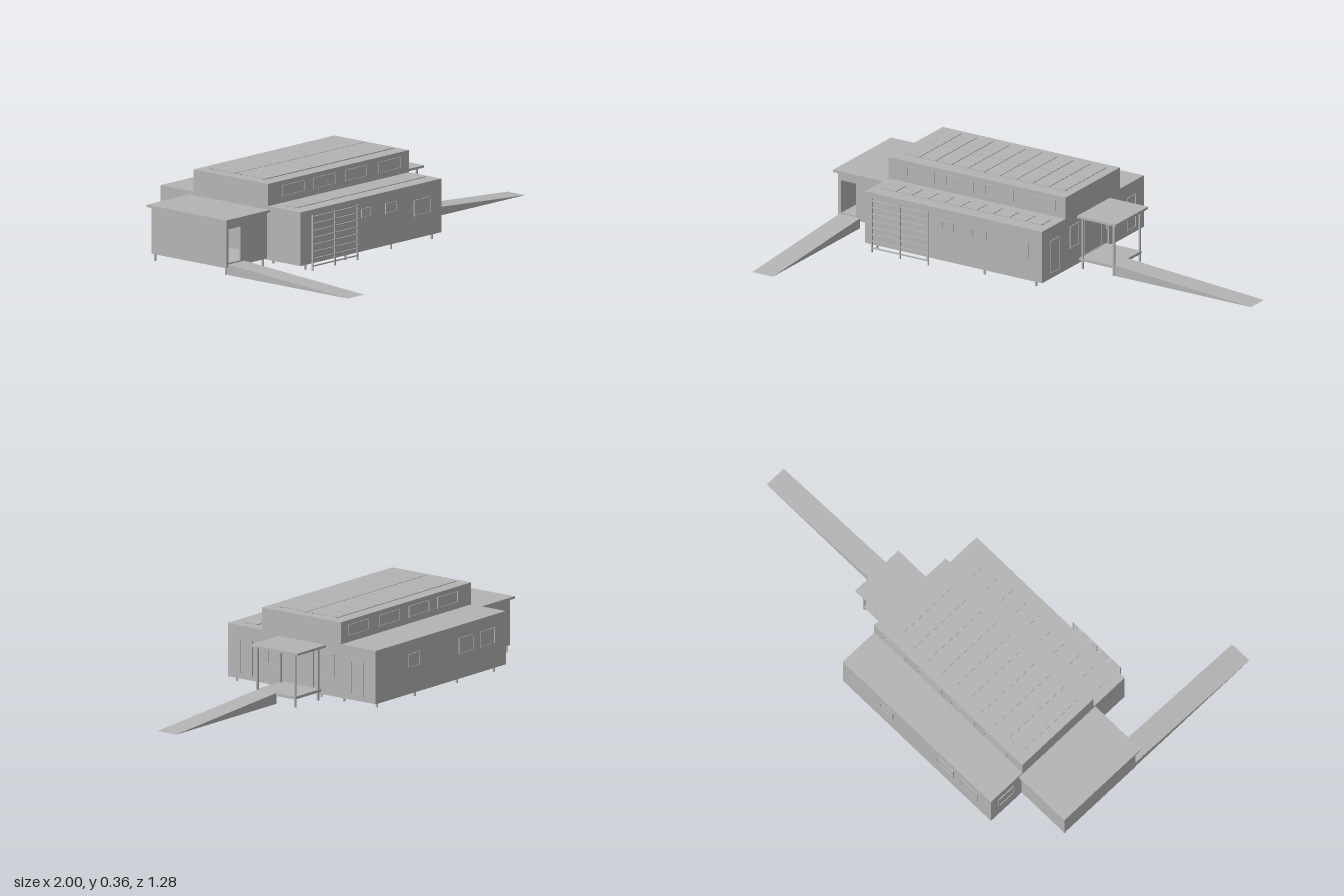
import * as THREE from 'three';

const grey = new THREE.MeshStandardMaterial({ color: 0xb4b4b4 });
grey.name = 'plain grey';

export function createModel() {
  const model = new THREE.Group();
  model.name = 'stiltedPavilion';

  const add = (parent, name, geometry) => {
    const mesh = new THREE.Mesh(geometry, grey);
    mesh.name = name;
    parent.add(mesh);
    return mesh;
  };
  // Box given by its low and high limits on each axis
  const box = (parent, name, x0, x1, y0, y1, z0, z1) => {
    const mesh = add(parent, name, new THREE.BoxGeometry(x1 - x0, y1 - y0, z1 - z0));
    mesh.position.set((x0 + x1) / 2, (y0 + y1) / 2, (z0 + z1) / 2);
    return mesh;
  };
  const group = (name) => {
    const g = new THREE.Group();
    g.name = name;
    model.add(g);
    return g;
  };
  const rectangle = (w, h, Type = THREE.Shape) => new Type([
    new THREE.Vector2(-w / 2, -h / 2), new THREE.Vector2(w / 2, -h / 2),
    new THREE.Vector2(w / 2, h / 2), new THREE.Vector2(-w / 2, h / 2),
  ]);

  // Window or door: a slim raised frame around a thin pane
  const opening = (name, w, h, x, y, z, turn) => {
    const g = group(name);
    const shape = rectangle(w, h);
    shape.holes.push(rectangle(w - 0.01, h - 0.01, THREE.Path));
    add(g, 'frame', new THREE.ExtrudeGeometry(shape, { depth: 0.004, bevelEnabled: false }));
    box(g, 'pane', -w / 2 + 0.005, w / 2 - 0.005, -h / 2 + 0.005, h / 2 - 0.005, 0, 0.001);
    g.position.set(x, y, z);
    g.rotation.y = turn;
  };
  const FRONT = 0, BACK = Math.PI, PLUS_X = Math.PI / 2, MINUS_X = -Math.PI / 2;

  // Main hall with a raised central bay
  box(model, 'mainHall', -0.73, 0.15, 0.025, 0.255, -0.64, 0.147);
  box(model, 'raisedBay', -0.73, 0.15, 0.255, 0.35, -0.455, -0.035);

  // Front and back windows
  opening('frontWindow', 0.06, 0.04, -0.32, 0.187, 0.147, FRONT);
  opening('frontWindow', 0.075, 0.045, -0.163, 0.183, 0.147, FRONT);
  opening('frontWindow', 0.105, 0.07, 0.03, 0.155, 0.147, FRONT);
  opening('backWindow', 0.08, 0.06, -0.11, 0.168, -0.64, BACK);
  for (const x of [-0.46, -0.605]) opening('backWindow', 0.1, 0.07, x, 0.165, -0.64, BACK);
  for (const x of [-0.57, -0.377, -0.18, 0.03]) {
    opening('highWindow', 0.14, 0.05, x, 0.305, -0.035, FRONT);
    opening('highWindow', 0.14, 0.05, x, 0.305, -0.455, BACK);
  }

  // End wall doors and windows
  for (const z of [0.048, -0.543]) opening('sideDoor', 0.068, 0.15, 0.15, 0.12, z, PLUS_X);
  for (const z of [-0.103, -0.385]) opening('sideWindow', 0.073, 0.1, 0.15, 0.16, z, PLUS_X);
  opening('entranceDoor', 0.135, 0.165, 0.15, 0.127, -0.243, PLUS_X);
  opening('farEndWindow', 0.09, 0.08, -0.73, 0.16, -0.55, MINUS_X);

  // Solar panels in a regular row of ten
  const panels = group('solarPanels');
  const panelRow = (y, z0, z1) => {
    for (let i = 0; i < 10; i++) {
      const x = -0.69 + i * 0.0805;
      box(panels, 'solarPanel', x + 0.002, x + 0.0785, y, y + 0.003, z0, z1);
    }
    for (const z of [z0 + 0.015, z1 - 0.015]) {
      box(panels, 'panelRail', -0.685, 0.11, y - 0.005, y, z - 0.002, z + 0.002);
    }
  };
  panelRow(0.355, -0.41, -0.252);
  panelRow(0.355, -0.248, -0.088);
  panelRow(0.259, 0.015, 0.092);

  // Free-standing slatted sun screen
  const screen = group('sunScreen');
  for (const x of [-0.68, -0.54, -0.4]) {
    box(screen, 'screenPost', x - 0.002, x + 0.002, 0, 0.24, 0.168, 0.174);
  }
  for (let i = 0; i < 8; i++) {
    const y = 0.018 + i * 0.03;
    box(screen, 'slat', -0.68, -0.4, y, y + 0.005, 0.168, 0.174);
  }

  // Wall plate with a doorway for the side annexe
  const annexe = group('sideAnnexe');
  const wall = rectangle(0.255, 0.195);
  const door = rectangle(0.075, 0.145, THREE.Path);
  door.curves.forEach((c) => [c.v1, c.v2].forEach((v) => { if (!v.moved) { v.moved = true; v.x -= 0.075; v.y -= 0.01; } }));
  wall.holes.push(door);
  add(annexe, 'frontWall', new THREE.ExtrudeGeometry(wall, { depth: 0.01, bevelEnabled: false }))
    .position.set(-0.8575, 0.1325, -0.05);
  box(annexe, 'outerWall', -0.985, -0.975, 0.035, 0.23, -0.46, -0.04);
  box(annexe, 'backWall', -0.985, -0.73, 0.035, 0.23, -0.46, -0.45);
  box(annexe, 'annexeFloor', -0.985, -0.73, 0.03, 0.045, -0.46, -0.04);
  box(annexe, 'annexeRoof', -1, -0.73, 0.23, 0.24, -0.475, -0.025);

  // Entrance porch: deck, canopy and posts
  const porch = group('entrancePorch');
  box(porch, 'deck', 0.15, 0.325, 0.035, 0.047, -0.35, -0.14);
  box(porch, 'canopy', 0.15, 0.342, 0.23, 0.24, -0.375, -0.123);
  for (const x of [0.165, 0.32]) {
    for (const z of [-0.145, -0.345]) {
      box(porch, 'porchPost', x - 0.004, x + 0.004, 0, 0.23, z - 0.004, z + 0.004);
    }
  }

  // Solid wedge ramps
  const ramp = (name, length, width, height) => {
    const side = new THREE.Shape();
    side.moveTo(0, 0);
    side.lineTo(length, 0);
    side.lineTo(0, height);
    const geometry = new THREE.ExtrudeGeometry(side, { depth: width, bevelEnabled: false });
    return add(model, name, geometry);
  };
  ramp('entranceRamp', 0.68, 0.1, 0.047).position.set(0.32, 0, -0.246);
  const sideRamp = ramp('annexeRamp', 0.675, 0.102, 0.045);
  sideRamp.rotation.y = -Math.PI / 2;
  sideRamp.position.set(-0.874, 0, -0.038);

  // Short stilts under the hall and annexe
  const stilts = group('stilts');
  const stilt = (x, z, h) => {
    add(stilts, 'stilt', new THREE.CylinderGeometry(0.005, 0.005, h, 8)).position.set(x, h / 2, z);
  };
  for (const x of [-0.68, -0.43, -0.145, 0.11]) {
    for (const z of [0.13, -0.05, -0.32, -0.44, -0.615]) stilt(x, z, 0.03);
  }
  for (const x of [-0.975, -0.745]) for (const z of [-0.05, -0.45]) stilt(x, z, 0.035);

  return model;
}
